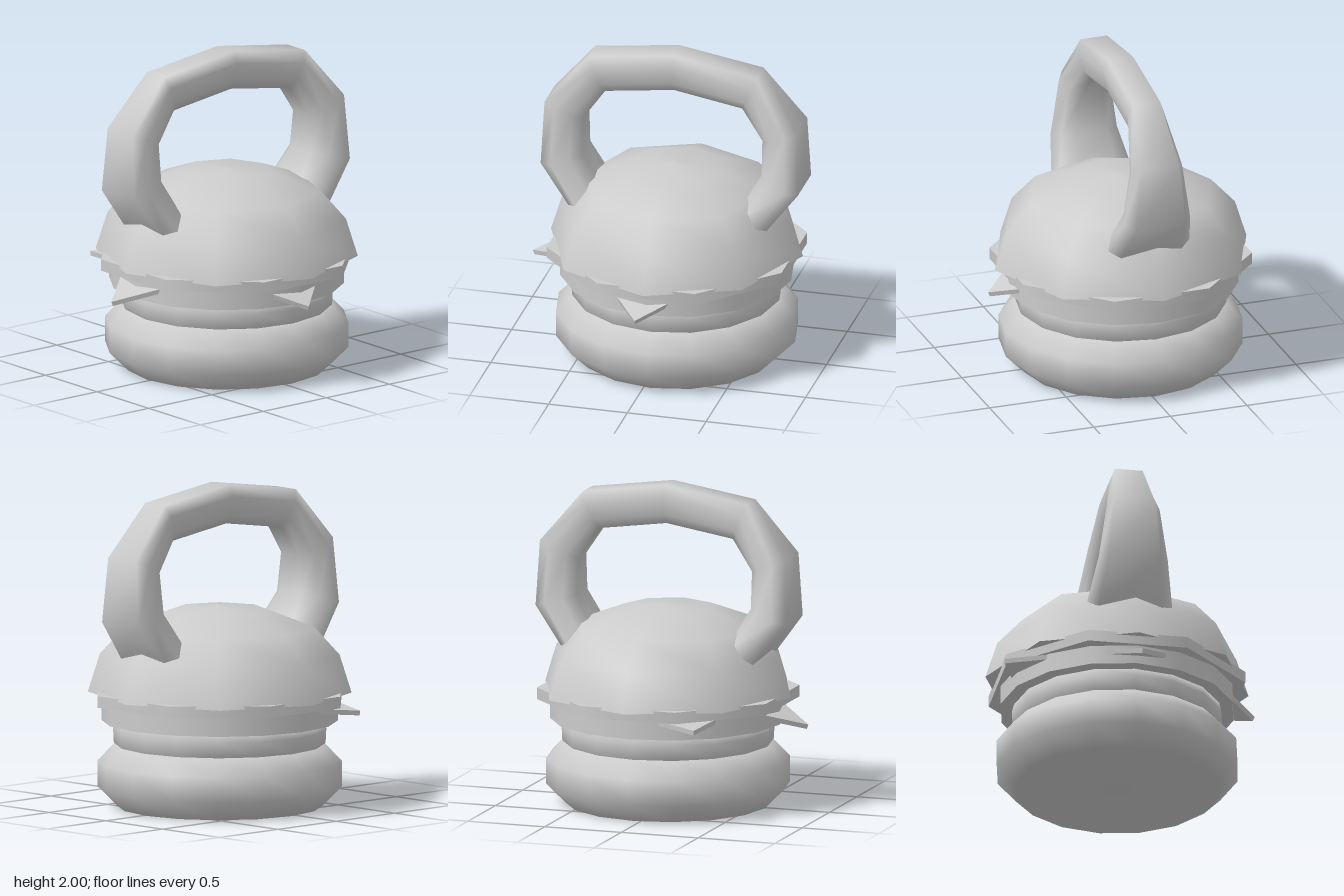
import * as THREE from 'three';

const CX = 0.045, CZ = -0.02; // shared axis of the burger stack

export function createModel() {
  const model = new THREE.Group();
  const mat = new THREE.MeshStandardMaterial({ color: 0xcccccc });
  const twoSided = new THREE.MeshStandardMaterial({ color: 0xcccccc, side: THREE.DoubleSide });

  const add = (name, geometry, material = mat) => {
    const mesh = new THREE.Mesh(geometry, material);
    mesh.name = name;
    model.add(mesh);
    return mesh;
  };
  const lathe = (name, sides, profile) => {
    const points = profile.map(([r, y]) => new THREE.Vector2(r, y));
    const mesh = add(name, new THREE.LatheGeometry(points, sides));
    mesh.position.set(CX, 0, CZ);
    return mesh;
  };
  const disc = (name, radius, y0, y1, sides, turn = 0) => {
    const mesh = add(name, new THREE.CylinderGeometry(radius, radius, y1 - y0, sides, 1, false, turn));
    mesh.position.set(CX, (y0 + y1) / 2, CZ);
  };

  // Stack, from the ground up
  lathe('bottomBun', 16, [[0, 0], [0.63, 0], [0.75, 0.12], [0.75, 0.28], [0.65, 0.385], [0.5, 0.4], [0, 0.4]]);
  lathe('patty', 16, [[0, 0.36], [0.6, 0.36], [0.65, 0.39], [0.655, 0.48], [0.64, 0.54], [0, 0.54]]);
  disc('tomato', 0.725, 0.53, 0.655, 16);
  disc('lettuce', 0.807, 0.65, 0.722, 8, Math.PI / 8);

  // Eight-sided domed top bun with a flat underside
  lathe('topBunUnderside', 8, [[0, 0.705], [0.8, 0.705]]).scale.z = 1.025;
  lathe('topBun', 8, [[0.8, 0.705], [0.727, 0.94], [0.575, 1.11], [0.29, 1.22], [0, 1.245]]).scale.z = 1.025;

  // Drooping cheese corners: thin triangular slabs hinged at the tomato's rim
  const cheeseCorner = (x, y, z) => {
    const length = Math.hypot(x - CX, z - CZ) - 0.58;
    const shape = new THREE.Shape();
    shape.moveTo(-0.28, 0);
    shape.lineTo(0.28, 0);
    shape.lineTo(0, Math.hypot(length, 0.66 - y));
    const geo = new THREE.ExtrudeGeometry(shape, { depth: 0.03, bevelEnabled: false });
    geo.rotateX(Math.PI / 2 + Math.atan2(0.66 - y, length)); // tip points outward and down
    geo.translate(0, 0.665, 0.58);
    const mesh = add('cheeseCorner', geo);
    mesh.rotation.y = Math.atan2(x - CX, z - CZ);
    mesh.position.set(CX, 0, CZ);
  };
  cheeseCorner(0, 0.54, 0.83);
  cheeseCorner(-0.87, 0.54, -0.02);
  cheeseCorner(-0.4, 0.62, -0.8);

  // Handle: [outer x, outer y, inner x, inner y, half depth] from foot to crown, then mirrored
  const half = [
    [-0.625, 0.94, -0.475, 1.1, 0.265],
    [-0.825, 1.2, -0.575, 1.27, 0.215],
    [-0.81, 1.6, -0.575, 1.5, 0.165],
    [-0.54, 1.92, -0.44, 1.69, 0.115],
  ];
  const mirrored = half.map(([ox, oy, ix, iy, w]) => [-ox, oy, -ix, iy, w]).reverse();
  const stations = [...half, [0, 2, 0, 1.755, 0.11], ...mirrored];
  // Cross-section: [share of the way from outer to inner, share of half depth]
  const ring = [[0, 0.75], [0, -0.75], [0.3, -1], [0.75, -0.85], [1, -0.45], [1, 0.45], [0.75, 0.85], [0.3, 1]];
  const positions = [], index = [], n = ring.length;
  stations.forEach(([ox, oy, ix, iy, w], i) => {
    for (const [t, d] of ring) {
      const x = ox + (ix - ox) * t;
      positions.push(x + 0.038, oy + (iy - oy) * t, CZ + 0.04 * x + w * d);
    }
    if (i === stations.length - 1) return;
    for (let j = 0; j < n; j++) {
      const a = i * n + j, c = i * n + (j + 1) % n;
      index.push(a, a + n, c, c, a + n, c + n);
    }
  });
  const handle = new THREE.BufferGeometry();
  handle.setAttribute('position', new THREE.Float32BufferAttribute(positions, 3));
  handle.setIndex(index);
  handle.computeVertexNormals();
  add('handle', handle, twoSided);

  return model;
}
